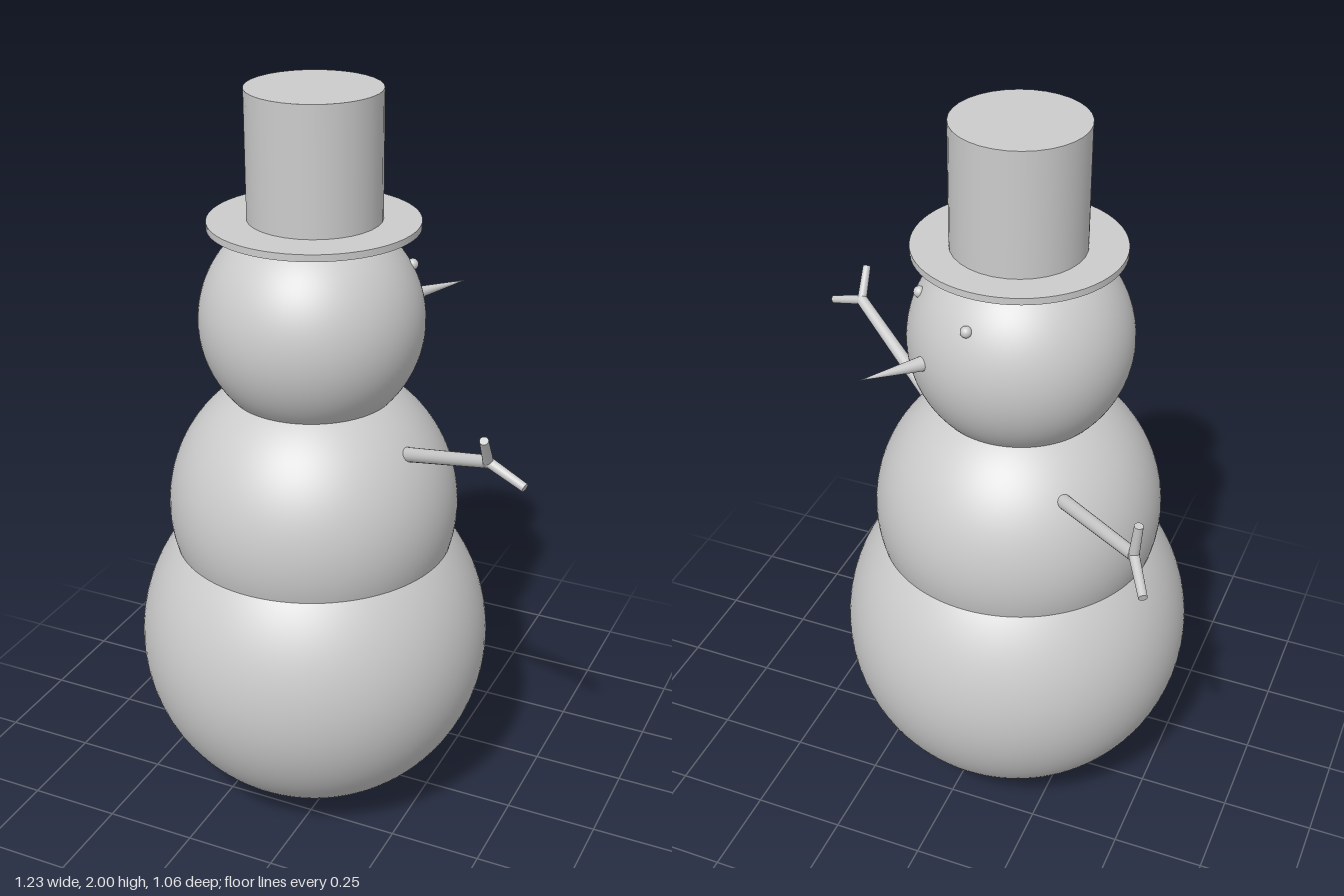
import * as THREE from 'three';

const material = new THREE.MeshStandardMaterial({ color: 0xcccccc });
const v = (x, y, z) => new THREE.Vector3(x, y, z);

function add(parent, name, geometry, position) {
  const mesh = new THREE.Mesh(geometry, material);
  mesh.name = name;
  mesh.position.copy(position);
  parent.add(mesh);
  return mesh;
}

// Round bar from a to b with its own radius at each end
function rod(parent, name, a, b, ra, rb) {
  const dir = b.clone().sub(a);
  const geometry = new THREE.CylinderGeometry(rb, ra, dir.length(), 20);
  const mesh = add(parent, name, geometry, a.clone().lerp(b, 0.5));
  mesh.quaternion.setFromUnitVectors(v(0, 1, 0), dir.normalize());
}

export function createModel() {
  const model = new THREE.Group();
  model.name = 'snowman';
  const cx = -0.078, cz = 0.05;

  // Three stacked snowballs: name, radius, centre height
  const balls = [
    ['bottomBall', 0.478, 0.482],
    ['middleBall', 0.387, 0.885],
    ['head', 0.292, 1.405],
  ];
  for (const [name, r, y] of balls) {
    add(model, name, new THREE.SphereGeometry(r, 96, 64), v(cx, y, cz));
  }

  // Top hat
  const hat = new THREE.Group();
  hat.name = 'hat';
  add(hat, 'brim', new THREE.CylinderGeometry(0.27, 0.27, 0.018, 64), v(-0.072, 1.663, 0.045));
  add(hat, 'crown', new THREE.CylinderGeometry(0.172, 0.172, 0.335, 32), v(-0.074, 1.8325, 0.036));
  model.add(hat);

  // Eyes either side of the nose direction
  const eyes = [['leftEye', 28], ['rightEye', 80]];
  for (const [name, degrees] of eyes) {
    const a = THREE.MathUtils.degToRad(degrees);
    const p = v(cx + 0.256 * Math.cos(a), 1.547, cz - 0.256 * Math.sin(a));
    add(model, name, new THREE.SphereGeometry(0.015, 20, 14), p);
  }

  // Pointed nose
  rod(model, 'nose', v(0.083, 1.415, -0.17), v(0.197, 1.426, -0.326), 0.021, 0);

  // Stick arms, each forking into two twigs
  const arms = [
    { name: 'leftArm', start: v(0.22, 1.11, 0.12), fork: v(0.505, 1.237, 0.312),
      twigs: [v(0.512, 1.317, 0.367), v(0.607, 1.202, 0.338)] },
    { name: 'rightArm', start: v(-0.29, 1.1, -0.185), fork: v(-0.548, 1.192, -0.428),
      twigs: [v(-0.558, 1.287, -0.438), v(-0.604, 1.157, -0.527)] },
  ];
  for (const { name, start, fork, twigs } of arms) {
    const arm = new THREE.Group();
    arm.name = name;
    rod(arm, 'stick', start, fork, 0.019, 0.016);
    add(arm, 'shoulder', new THREE.SphereGeometry(0.019, 20, 14), start);
    twigs.forEach((tip, i) => rod(arm, `twig${i + 1}`, fork, tip, 0.013, 0.011));
    model.add(arm);
  }

  return model;
}
